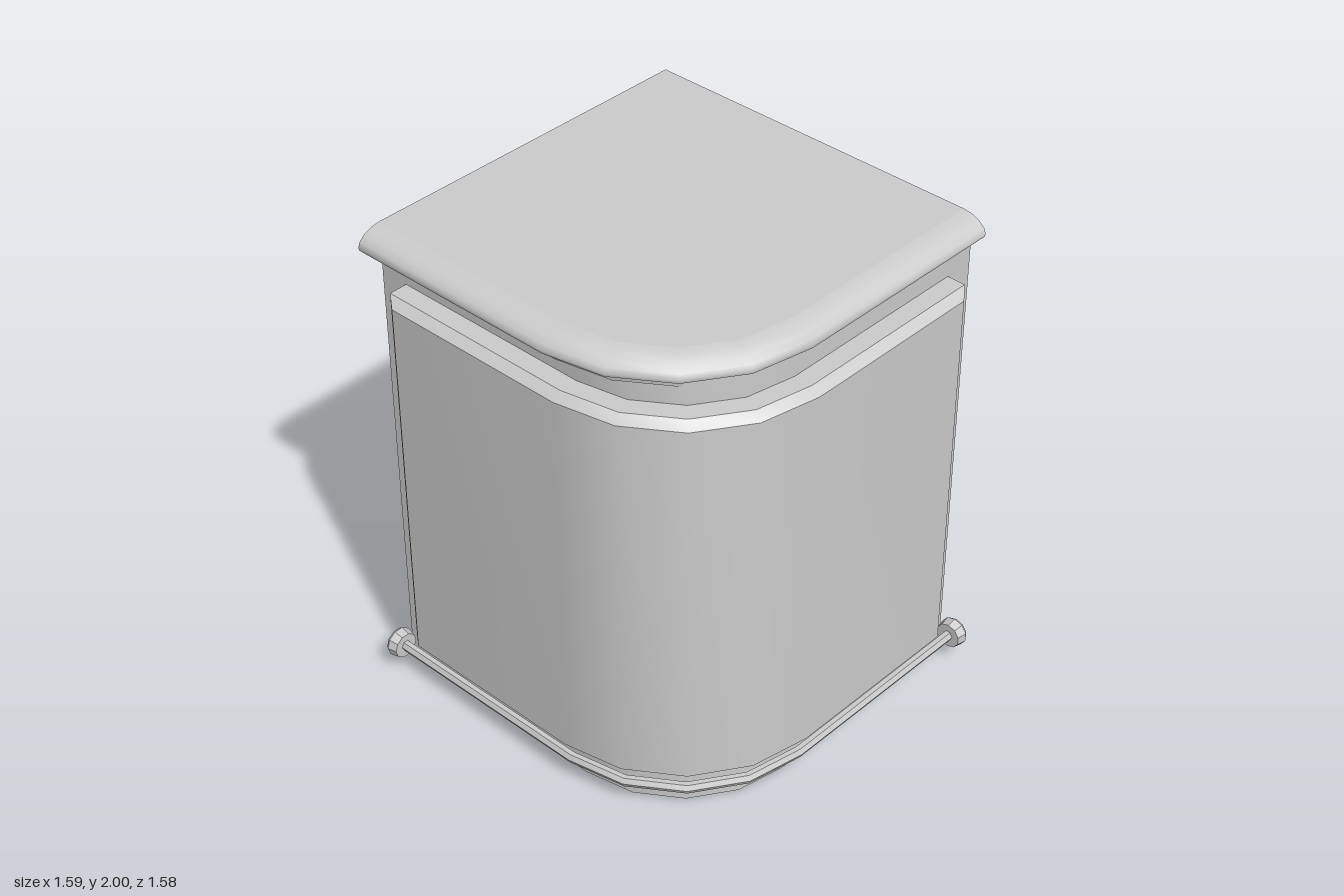
import * as THREE from 'three';
import { mergeGeometries } from 'three/addons/utils/BufferGeometryUtils.js';

const LEFT = -0.8, BACK = -0.79;          // where the two straight walls stop
const BODY = { x: 0.15, z: 0.14 };        // corner centre of wall, panel and rail
const CAP = { x: 0.09, z: 0.12 };         // corner centre of the lid

// Plan line: straight front, four-facet rounded corner, straight side
function line(c, r, y, inset = 0) {
  const pts = [new THREE.Vector3(LEFT + inset, y, c.z + r)];
  for (let i = 0; i <= 4; i++) {
    const a = Math.PI / 2 * (1 - i / 4);
    pts.push(new THREE.Vector3(c.x + r * Math.cos(a), y, c.z + r * Math.sin(a)));
  }
  pts.push(new THREE.Vector3(c.x + r, y, BACK + inset));
  return pts;
}

// Surface through rows of points, smooth in both directions
function skin(rows) {
  const n = rows[0].length, pos = [], idx = [];
  rows.forEach(row => row.forEach(p => pos.push(p.x, p.y, p.z)));
  for (let j = 0; j < rows.length - 1; j++) {
    for (let i = 0; i < n - 1; i++) {
      const a = j * n + i, b = a + n;
      idx.push(a, a + 1, b, a + 1, b + 1, b);
    }
  }
  const g = new THREE.BufferGeometry();
  g.setAttribute('position', new THREE.Float32BufferAttribute(pos, 3));
  g.setIndex(idx);
  g.computeVertexNormals();
  return g;
}

// Same, with a hard edge at every row
const creased = rows => mergeGeometries(rows.slice(1).map((r, i) => skin([rows[i], r])));

export function createModel() {
  const group = new THREE.Group();
  const grey = new THREE.MeshStandardMaterial({ color: 0xcccccc, side: THREE.DoubleSide });
  const greyFlat = grey;
  const add = (name, geometry, material = greyFlat) => {
    const m = new THREE.Mesh(geometry, material);
    m.name = name;
    group.add(m);
    return m;
  };

  // Wall shell framing the panel opening
  const y0 = 0.22, y1 = 1.795, edge = 0.12;
  const wr = 0.51;
  add('lowerWall', skin([line(BODY, wr, 0), line(BODY, wr, y0)]));
  add('upperWall', skin([line(BODY, wr, y1), line(BODY, wr, 1.925)]));
  const fz = BODY.z + wr, sx = BODY.x + wr;
  const v = (x, y, z) => new THREE.Vector3(x, y, z);
  add('frontWallEdge', skin([y0, y1].map(y => [v(LEFT, y, fz), v(LEFT + edge, y, fz)])));
  add('sideWallEdge', skin([y0, y1].map(y => [v(sx, y, BACK + edge), v(sx, y, BACK)])));

  // Raised panel, bevelled at the top and both ends, hollow behind
  const mid = 0.585, out = 0.62, inner = 0.165;
  add('panel', creased([
    line(BODY, wr, y0, edge), line(BODY, mid, y0, edge), line(BODY, out, y0, inner),
    line(BODY, out, 1.765, inner), line(BODY, mid, y1, edge), line(BODY, wr, y1, edge),
  ]));
  const low = [line(BODY, wr, y0, edge), line(BODY, mid, y0, edge), line(BODY, out, y0, inner)];
  const high = [line(BODY, wr, y1, edge), line(BODY, mid, y1, edge), line(BODY, out, 1.765, inner)];
  add('panelFrontEnd', creased(low.map((l, i) => [l[0], high[i][0]])));
  add('panelSideEnd', creased(low.map((l, i) => [high[i][6], l[6]])));

  // Lid: neck moulding, rounded rim and flat top
  add('lidNeck', creased([
    line(CAP, 0.525, 1.87), line(CAP, 0.565, 1.87), line(CAP, 0.572, 1.925), line(CAP, 0.625, 1.925),
  ]));
  const rim = [[0.625, 1.925], [0.63, 1.94], [0.622, 1.96], [0.6, 1.98], [0.565, 1.995], [0.53, 2]];
  add('lidRim', skin(rim.map(([r, y]) => line(CAP, r, y))));
  const top = new THREE.Shape([
    new THREE.Vector2(LEFT, -BACK), ...line(CAP, 0.53, 2).map(p => new THREE.Vector2(p.x, -p.z)),
  ]);
  add('lidTop', new THREE.ShapeGeometry(top).rotateX(-Math.PI / 2).translate(0, 2, 0));

  // Six-sided rail following the wall
  const rings = [];
  for (let k = 0; k <= 6; k++) {
    const a = k * Math.PI / 3;
    rings.push(line(BODY, mid + 0.02 * Math.cos(a), 0.13 + 0.023 * Math.sin(a), 0.02));
  }
  add('rail', creased(rings));

  // Ten-sided tapered knobs, dished on the outer face
  const profile = [[0.018, 0.05], [0.052, 0.05], [0.06, 0.012], [0.052, 0], [0.03, 0.015], [0, 0.015]]
    .map(([x, y]) => new THREE.Vector2(x, y));
  const knob = new THREE.LatheGeometry(profile, 10).toNonIndexed();
  knob.computeVertexNormals();
  const front = add('frontKnob', knob);
  front.rotation.z = -Math.PI / 2;
  front.position.set(LEFT, 0.13, BODY.z + mid);
  const side = add('sideKnob', knob);
  side.rotation.x = Math.PI / 2;
  side.position.set(BODY.x + mid, 0.13, BACK);

  return group;
}
